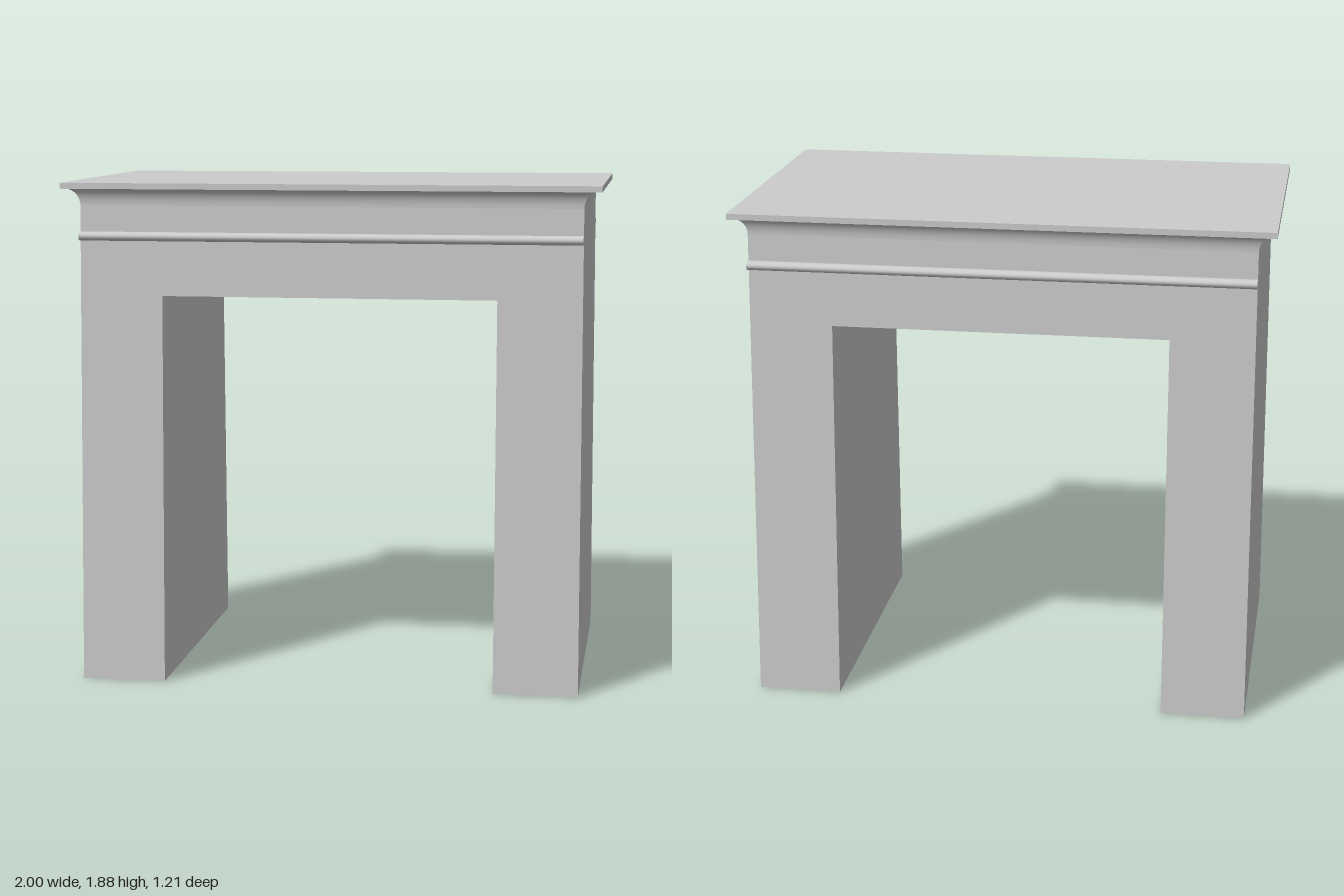
import * as THREE from 'three';
import { toCreasedNormals } from 'three/addons/utils/BufferGeometryUtils.js';

const material = new THREE.MeshStandardMaterial({ color: 0xcccccc });

const BODY_TOP = 1.865;
const halfWidth = (y) => 0.94 - 0.006 * (y / BODY_TOP);
const halfDepth = (y) => 0.603 - 0.05 * (y / BODY_TOP);

function addMesh(group, name, geometry) {
  const mesh = new THREE.Mesh(geometry, material);
  mesh.name = name;
  group.add(mesh);
  return mesh;
}

// Two piers and a lintel in one arch outline, leaning inwards as it rises
function archGeometry() {
  const shape = new THREE.Shape();
  const outerBottom = halfWidth(0), outerTop = halfWidth(BODY_TOP);
  const inner = 0.624, openingTop = 1.465;
  shape.moveTo(-outerBottom, 0);
  shape.lineTo(-inner, 0);
  shape.lineTo(-inner, openingTop);
  shape.lineTo(inner, openingTop);
  shape.lineTo(inner, 0);
  shape.lineTo(outerBottom, 0);
  shape.lineTo(outerTop, BODY_TOP);
  shape.lineTo(-outerTop, BODY_TOP);
  const geometry = new THREE.ExtrudeGeometry(shape, { depth: 1, bevelEnabled: false });
  const p = geometry.attributes.position;
  for (let i = 0; i < p.count; i++) {
    p.setZ(i, (p.getZ(i) - 0.5) * 2 * halfDepth(p.getY(i)));
  }
  geometry.computeVertexNormals();
  return geometry;
}

// Mitred moulding: lofts rectangular rings { x, z, y } from bottom to top
function ringLoft(rings) {
  const corners = ({ x, z, y }) => [[-x, y, z], [x, y, z], [x, y, -z], [-x, y, -z]];
  const positions = [];
  for (let i = 0; i < rings.length - 1; i++) {
    const low = corners(rings[i]), high = corners(rings[i + 1]);
    for (let s = 0; s < 4; s++) {
      const n = (s + 1) % 4;
      positions.push(...low[s], ...low[n], ...high[n], ...low[s], ...high[n], ...high[s]);
    }
  }
  const geometry = new THREE.BufferGeometry();
  geometry.setAttribute('position', new THREE.Float32BufferAttribute(positions, 3));
  return toCreasedNormals(geometry, 0.5);
}

export function createModel() {
  const group = new THREE.Group();
  group.name = 'gateway';

  addMesh(group, 'archBody', archGeometry());

  // Hollow cove flaring out from the walls to the cap
  const coveBottom = 1.8, coveTop = 1.863, steps = 10;
  const startX = halfWidth(coveBottom), startZ = halfDepth(coveBottom);
  const rings = [];
  for (let i = 0; i <= steps; i++) {
    const a = (i / steps) * Math.PI / 2;
    const out = 1 - Math.cos(a);
    rings.push({
      x: startX + (0.988 - startX) * out,
      z: startZ + (0.592 - startZ) * out,
      y: coveBottom + (coveTop - coveBottom) * Math.sin(a),
    });
  }
  addMesh(group, 'cove', ringLoft(rings));

  // Flat cap slab
  addMesh(group, 'capSlab', new THREE.BoxGeometry(2, 0.022, 1.204)).position.y = 1.873;

  // Rounded bead across the front and back faces
  const beadY = 1.686;
  const beadGeometry = new THREE.CylinderGeometry(1, 1, 2 * halfWidth(beadY), 20).rotateZ(Math.PI / 2);
  for (const side of [1, -1]) {
    const bead = addMesh(group, side > 0 ? 'frontBead' : 'backBead', beadGeometry);
    bead.scale.set(1, 0.017, 0.024);
    bead.position.set(0, beadY, side * 0.568);
  }

  return group;
}
